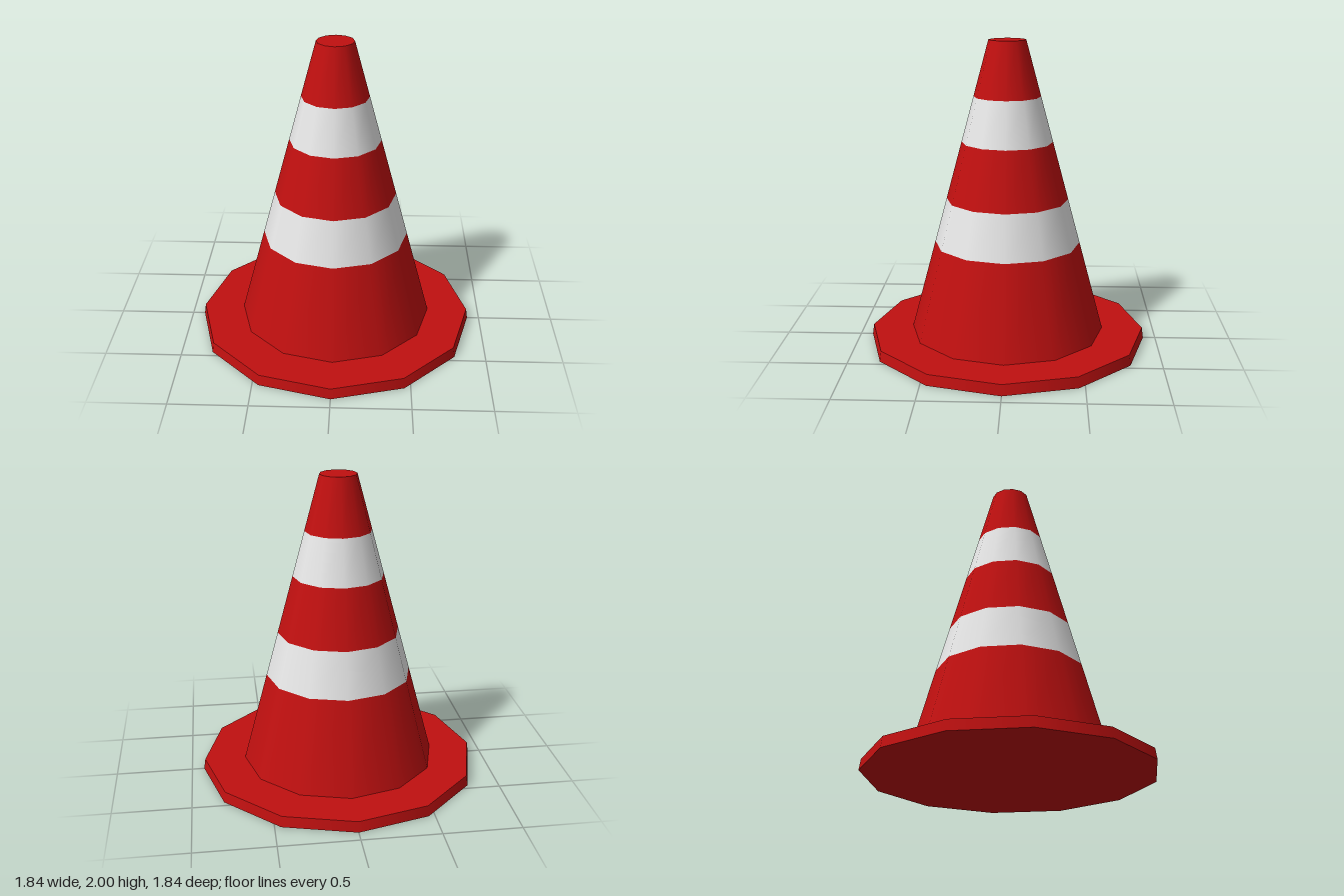
import * as THREE from 'three';

const SIDES = 12;

export function createModel() {
  const model = new THREE.Group();
  model.name = 'trafficCone';

  const red = new THREE.MeshStandardMaterial({ color: 0xc01010 });
  red.name = 'red';
  const white = new THREE.MeshStandardMaterial({ color: 0xe6e6e6 });
  white.name = 'white';

  const addPart = (name, geometry, material, y) => {
    const mesh = new THREE.Mesh(geometry, material);
    mesh.name = name;
    mesh.position.y = y;
    model.add(mesh);
  };

  // Base plate, very slightly tapered
  const baseTop = 0.07, height = 2;
  addPart('basePlate', new THREE.CylinderGeometry(0.91, 0.92, baseTop, SIDES), red, baseTop / 2);

  // Tapered body, split into alternating bands that share one slope
  const radiusAt = (y) => THREE.MathUtils.mapLinear(y, baseTop, height, 0.64, 0.12);
  const levels = [baseTop, 0.67, 0.965, 1.345, 1.64, height];
  const names = ['lowerBody', 'lowerStripe', 'middleBody', 'upperStripe', 'tip'];
  names.forEach((name, i) => {
    const y0 = levels[i], y1 = levels[i + 1];
    const band = new THREE.CylinderGeometry(radiusAt(y1), radiusAt(y0), y1 - y0, SIDES, 1, true);
    addPart(name, band, i % 2 ? white : red, (y0 + y1) / 2);
  });

  // Flat cap closing the tip
  const cap = new THREE.CircleGeometry(radiusAt(height), SIDES).rotateX(-Math.PI / 2);
  addPart('tipCap', cap, red, height);

  return model;
}
